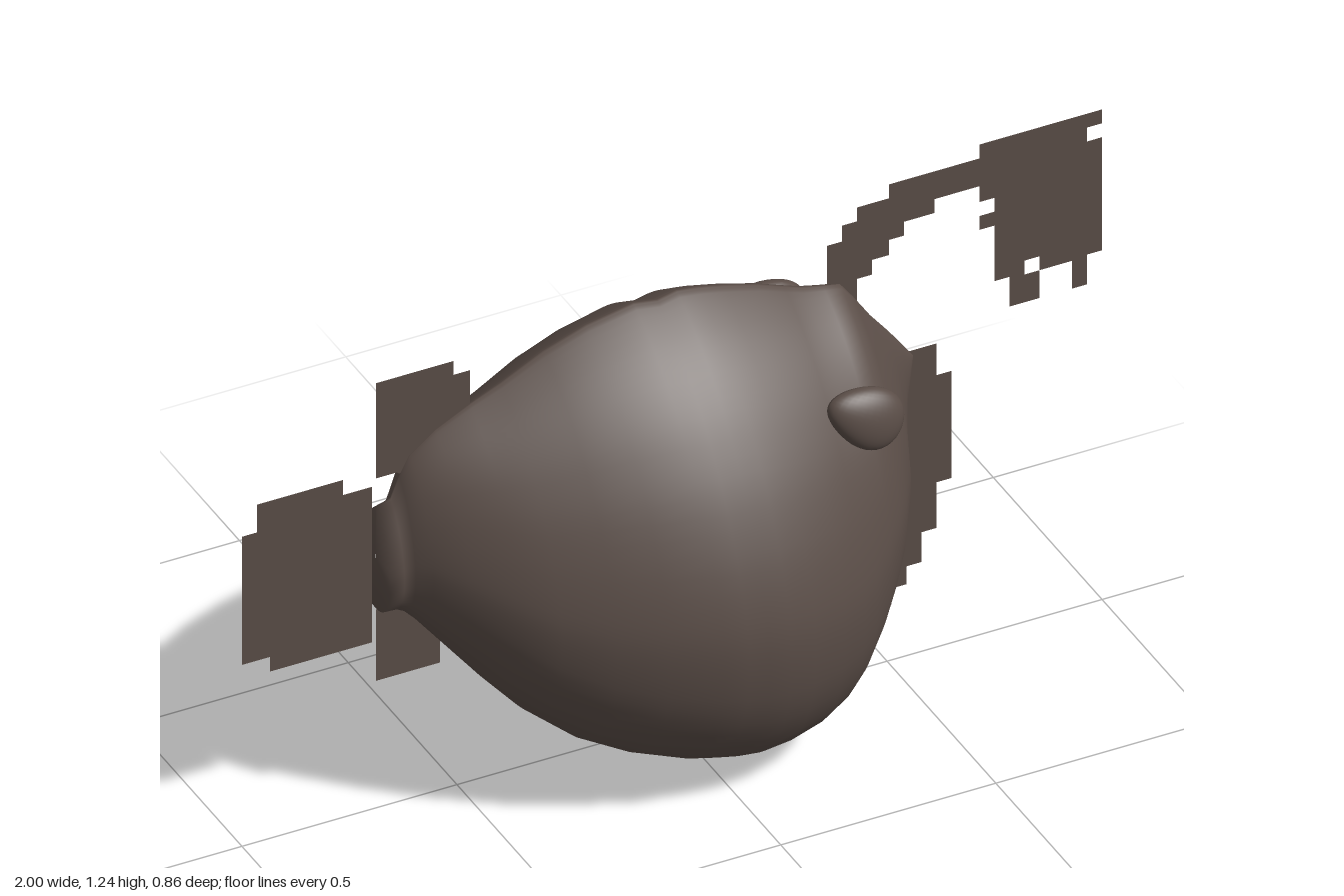
import * as THREE from 'three';

// Body stations from tail to snout: x, top y, bottom y, half width
const STATIONS = [
  [-0.69, 0.64, 0.63, 0.002], [-0.69, 0.76, 0.505, 0.072], [-0.655, 0.77, 0.5, 0.066],
  [-0.635, 0.82, 0.49, 0.078], [-0.61, 0.865, 0.465, 0.11], [-0.55, 0.91, 0.39, 0.168],
  [-0.47, 0.95, 0.29, 0.238], [-0.4, 0.98, 0.21, 0.288], [-0.3, 1.03, 0.125, 0.345],
  [-0.2, 1.065, 0.07, 0.388], [-0.09, 1.086, 0.03, 0.424], [-0.035, 1.077, 0.015, 0.425],
  [0.01, 1.087, 0.006, 0.432], [0.06, 1.08, 0, 0.432], [0.12, 1.066, 0.005, 0.425],
  [0.2, 1.043, 0.02, 0.402], [0.26, 1.02, 0.047, 0.376], [0.3, 1.005, 0.08, 0.352],
  [0.35, 0.993, 0.15, 0.317], [0.39, 0.985, 0.22, 0.283], [0.42, 0.945, 0.285, 0.25],
  [0.46, 0.885, 0.38, 0.19], [0.5, 0.835, 0.485, 0.095], [0.53, 0.795, 0.6, 0.035],
  [0.56, 0.753, 0.745, 0.001],
];

// Half cross-section, peaked on top and round below: share of width, share of height
const SECTION = new THREE.CatmullRomCurve3([
  [0, 1], [0.04, 0.993], [0.23, 0.942], [0.41, 0.878], [0.585, 0.795], [0.775, 0.675],
  [0.935, 0.525], [1, 0.4], [0.96, 0.255], [0.79, 0.125], [0.52, 0.043], [0.25, 0.009], [0, 0],
].map(([w, t]) => new THREE.Vector3(w, t, 0)));

function bodyGeometry() {
  const half = SECTION.getPoints(48);
  const ring = [...half, ...half.slice(1, -1).reverse().map(p => new THREE.Vector3(-p.x, p.y, 0))];
  const n = ring.length, pos = [], idx = [];
  for (const [x, top, bottom, w] of STATIONS)
    for (const p of ring) pos.push(x, bottom + (top - bottom) * p.y, p.x * w);
  for (let i = 0; i < STATIONS.length - 1; i++)
    for (let j = 0; j < n; j++) {
      const a = i * n + j, c = i * n + (j + 1) % n;
      idx.push(a, c, a + n, a + n, c, c + n);
    }
  const g = new THREE.BufferGeometry();
  g.setAttribute('position', new THREE.Float32BufferAttribute(pos, 3));
  g.setIndex(idx);
  g.computeVertexNormals();
  return g;
}

// Stepped outlines of the flat fins
const FINS = {
  tailFin: [[-1, 0.78], [-0.965, 0.78], [-0.965, 0.85], [-0.765, 0.85], [-0.765, 0.812], [-0.697, 0.812],
    [-0.697, 0.42], [-0.935, 0.42], [-0.935, 0.457], [-1, 0.457]],
  upperFin: [[-0.688, 1.07], [-0.508, 1.07], [-0.508, 1.035], [-0.47, 1.035], [-0.47, 0.88],
    [-0.6, 0.8], [-0.64, 0.83], [-0.688, 0.83]],
  lowerFin: [[-0.688, 0.5], [-0.54, 0.5], [-0.54, 0.32], [-0.688, 0.32]],
  jawFin: [[0.54, 0.765], [0.615, 0.765], [0.615, 0.685], [0.65, 0.685], [0.65, 0.415], [0.615, 0.415],
    [0.615, 0.3], [0.58, 0.3], [0.58, 0.225], [0.545, 0.225], [0.545, 0.18], [0.51, 0.18], [0.51, 0.14],
    [0.47, 0.14], [0.47, 0.105], [0.4, 0.105], [0.4, 0.065], [0.295, 0.065], [0.25, 0.2], [0.45, 0.7]],
  lure: [[0.36, 0.92], [0.36, 1.09], [0.395, 1.09], [0.395, 1.13], [0.43, 1.13], [0.43, 1.165],
    [0.505, 1.165], [0.505, 1.2], [0.715, 1.2], [0.715, 1.235], [1, 1.235], [1, 1.2], [0.965, 1.2],
    [0.965, 1.165], [1, 1.165], [1, 0.88], [0.965, 0.88], [0.965, 0.805], [0.93, 0.805], [0.93, 0.875],
    [0.855, 0.875], [0.855, 0.91], [0.82, 0.91], [0.82, 0.875], [0.855, 0.875], [0.855, 0.805],
    [0.785, 0.805], [0.785, 0.88], [0.75, 0.88], [0.75, 1.02], [0.715, 1.02], [0.715, 1.055],
    [0.75, 1.055], [0.75, 1.09], [0.715, 1.09], [0.715, 1.13], [0.61, 1.13], [0.61, 1.095],
    [0.54, 1.095], [0.54, 1.06], [0.505, 1.06], [0.505, 1.022], [0.465, 1.022], [0.465, 0.985],
    [0.43, 0.985], [0.43, 0.92]],
};

export function createModel() {
  const group = new THREE.Group();
  const skin = new THREE.MeshStandardMaterial({ name: 'brown skin', color: 0x5a4d47 });
  const fin = new THREE.MeshStandardMaterial({ name: 'brown fin', color: 0x5a4d47, side: THREE.DoubleSide });
  const add = (name, geometry, material) => {
    const mesh = new THREE.Mesh(geometry, material);
    mesh.name = name;
    group.add(mesh);
    return mesh;
  };

  add('body', bodyGeometry(), skin);

  // Bulging eyes, fuller at the lower front end
  for (const [name, s] of [['leftEye', 1], ['rightEye', -1]]) {
    const g = new THREE.SphereGeometry(1, 32, 20);
    const p = g.attributes.position;
    for (let i = 0; i < p.count; i++) p.setY(i, p.getY(i) * (1 + 0.25 * p.getX(i)));
    g.scale(0.09, 0.066, 0.036);
    g.computeVertexNormals();
    const eye = add(name, g, skin);
    eye.position.set(0.333, 0.81, s * 0.229);
    eye.rotation.set(-s * 0.25, 0, -0.5);
  }

  // Flat fins and lure on the middle plane
  for (const [name, pts] of Object.entries(FINS)) {
    const shape = new THREE.Shape(pts.map(([x, y]) => new THREE.Vector2(x, y)));
    add(name, new THREE.ShapeGeometry(shape), fin);
  }
  return group;
}
